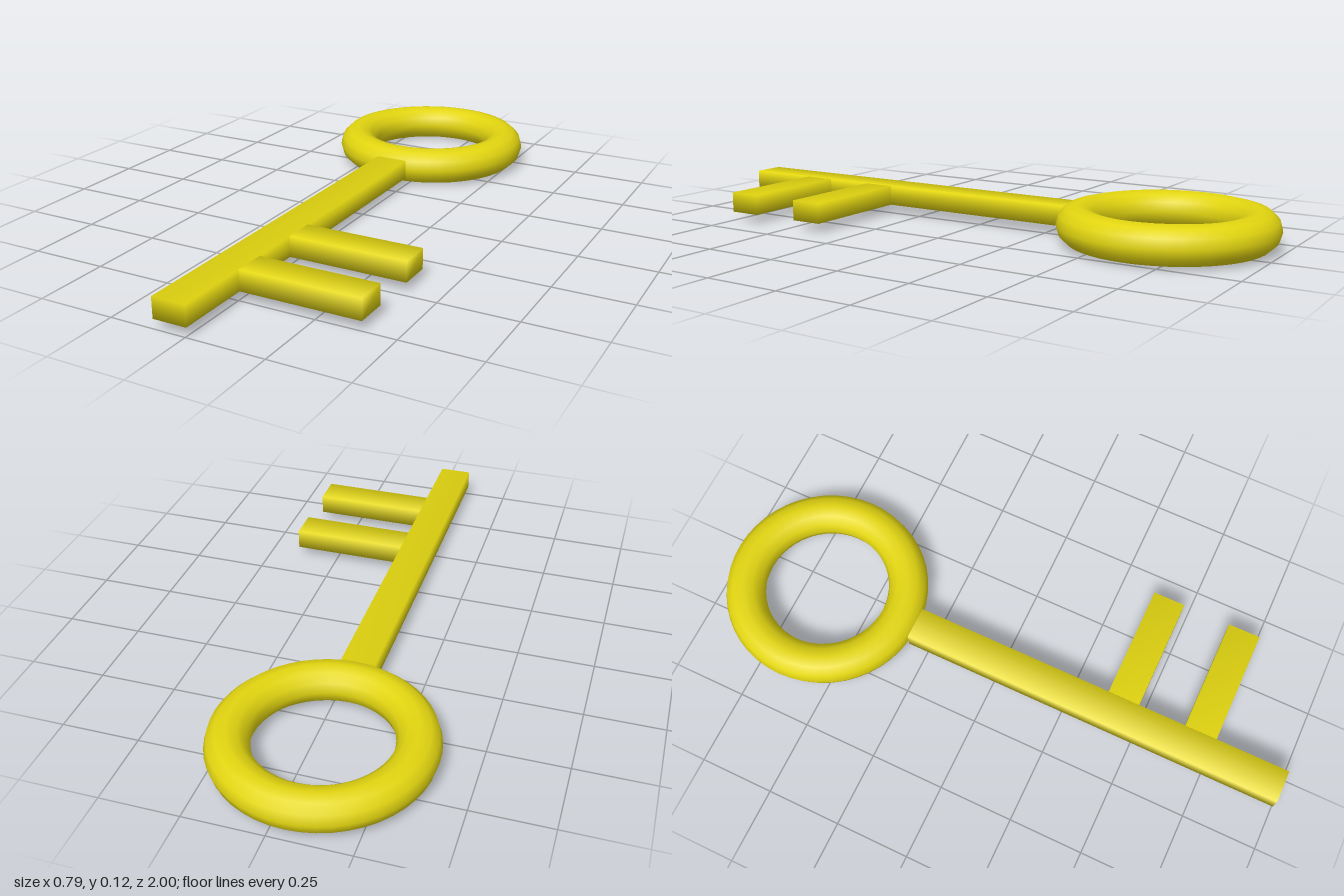
import * as THREE from 'three';

const gold = new THREE.MeshStandardMaterial({ color: 0xe2d510 });
gold.name = 'yellow gold';

// Box between two corners, with corner normals blended for a soft cast look
function softBar(name, min, max) {
  const geo = new THREE.BoxGeometry(1, 1, 1);
  const p = geo.attributes.position;
  const n = geo.attributes.normal;
  const k = 1 / Math.sqrt(3);
  for (let i = 0; i < p.count; i++) {
    n.setXYZ(i, Math.sign(p.getX(i)) * k, Math.sign(p.getY(i)) * k, Math.sign(p.getZ(i)) * k);
  }
  const size = max.map((v, i) => v - min[i]);
  geo.scale(...size);
  geo.translate(...min.map((v, i) => v + size[i] / 2));
  const mesh = new THREE.Mesh(geo, gold);
  mesh.name = name;
  return mesh;
}

export function createModel() {
  const key = new THREE.Group();
  key.name = 'key';
  const low = 0.03, high = 0.097;

  // Ring handle, slightly flattened
  const ringGeo = new THREE.TorusGeometry(0.278, 0.0675, 12, 48);
  ringGeo.rotateX(-Math.PI / 2);
  ringGeo.scale(1, 0.0625 / 0.0675, 1);
  const ring = new THREE.Mesh(ringGeo, gold);
  ring.name = 'ringHandle';
  ring.position.set(-0.05, 0.0625, -0.6545);
  key.add(ring);

  // Shaft
  key.add(softBar('shaft', [-0.105, low, -0.315], [0.005, high, 1]));

  // Two teeth on the left side of the shaft
  [0.37, 0.642].forEach((z, i) => {
    key.add(softBar('tooth' + (i + 1), [0.004, low, z], [0.395, high, z + 0.108]));
  });

  return key;
}
